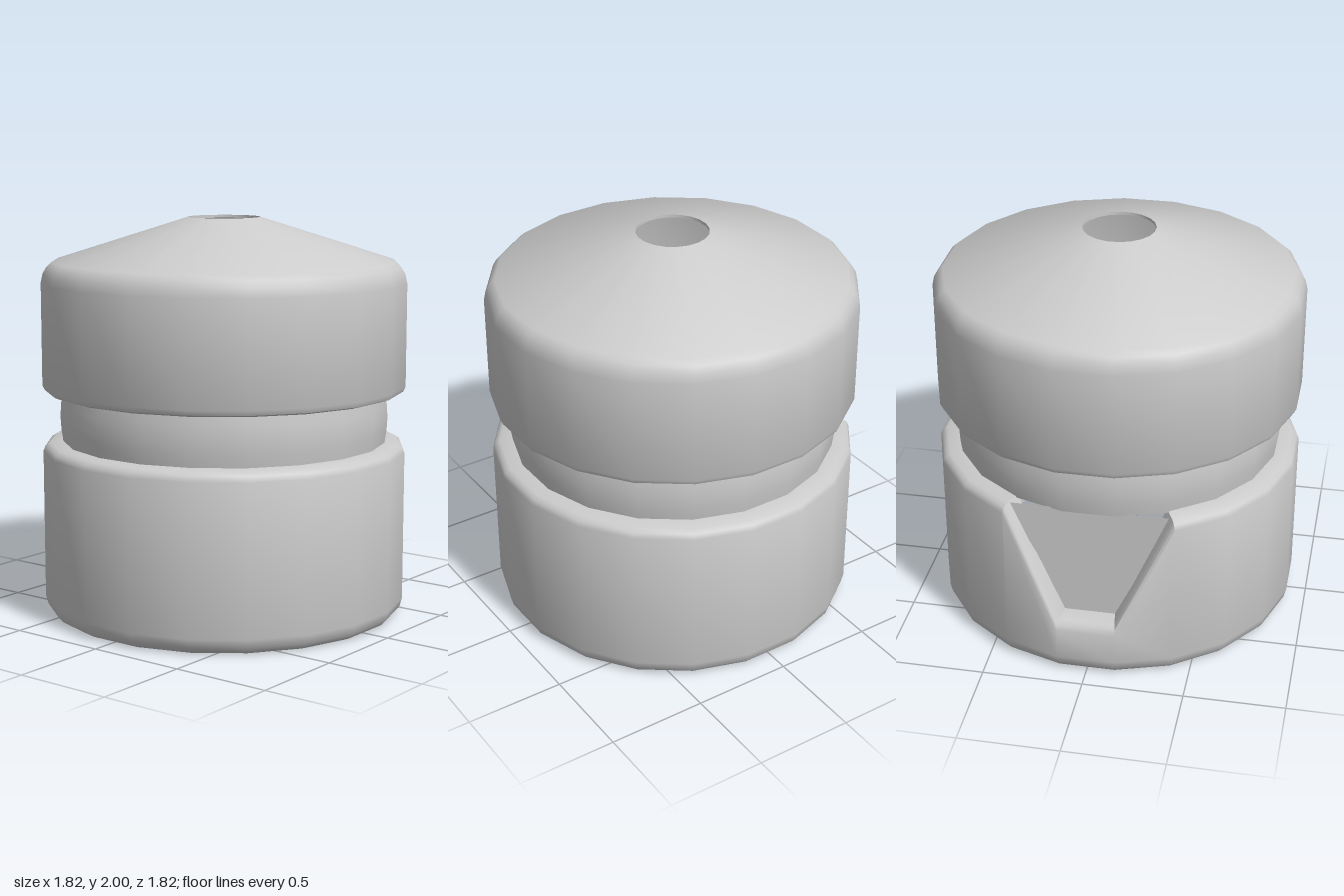
import * as THREE from 'three';
import { toCreasedNormals } from 'three/addons/utils/BufferGeometryUtils.js';

const SIDES = 20;
const STEP = (Math.PI * 2) / SIDES;
const material = new THREE.MeshStandardMaterial({ color: 0xcccccc });

// Twenty-sided turned surface with a flat facing each axis; reshape may move its vertices
function turned(name, profile, reshape) {
  const points = profile.map(([r, y]) => new THREE.Vector2(r, y));
  const geometry = new THREE.LatheGeometry(points, SIDES, STEP / 2);
  if (reshape) reshape(geometry.attributes.position);
  const mesh = new THREE.Mesh(toCreasedNormals(geometry, 0.75), material);
  mesh.name = name;
  return mesh;
}

// Lowers the rim along the rear flat, leaving a tapered notch with sloping walls
function cutNotch(position) {
  for (let i = 0; i < position.count; i++) {
    const x = position.getX(i), y = position.getY(i), z = position.getZ(i);
    const atRearFlat = z < 0 && Math.abs(x / z) < Math.tan(STEP * 0.75);
    if (atRearFlat && y > 0.5) position.setY(i, y - 0.59);
  }
}

export function createModel() {
  const group = new THREE.Group();

  // Lower sleeve, with rounded edges and a thin wall
  group.add(turned('lowerSleeve', [
    [0.865, 0], [0.885, 0.01], [0.908, 0.035], [0.92, 0.08],
    [0.92, 0.83], [0.91, 0.856], [0.885, 0.872], [0.8, 0.88],
  ], cutNotch));
  group.add(turned('lowerSleeveInside', [[0.8, 0.87], [0.87, 0.87], [0.865, 0]], cutNotch));

  // Flat floor of the rear notch
  const floorShape = new THREE.Shape([
    new THREE.Vector2(-0.13, 0.28), new THREE.Vector2(0.13, 0.28),
    new THREE.Vector2(0.385, 0.878), new THREE.Vector2(-0.385, 0.878),
  ]);
  const floorGeometry = new THREE.ShapeGeometry(floorShape).rotateY(Math.PI).translate(0, 0, -0.79);
  const floorMaterial = material.clone();
  floorMaterial.side = THREE.DoubleSide;
  const floor = new THREE.Mesh(floorGeometry, floorMaterial);
  floor.name = 'notchFloor';
  group.add(floor);

  // Slightly bulged neck between the two sleeves
  group.add(turned('neck', [[0.818, 0.87], [0.828, 0.94], [0.832, 1.005], [0.828, 1.07], [0.818, 1.14]]));

  // Upper cap with a conical top and an open centre hole
  group.add(turned('upperCap', [
    [0.8, 1.127], [0.88, 1.13], [0.908, 1.14], [0.92, 1.165],
    [0.92, 1.68], [0.91, 1.725], [0.892, 1.757], [0.865, 1.782], [0.18, 2],
  ]));
  group.add(turned('upperCapInside', [
    [0.18, 2], [0.18, 1.985], [0.84, 1.765], [0.87, 1.7], [0.87, 1.14], [0.8, 1.14],
  ]));

  return group;
}
